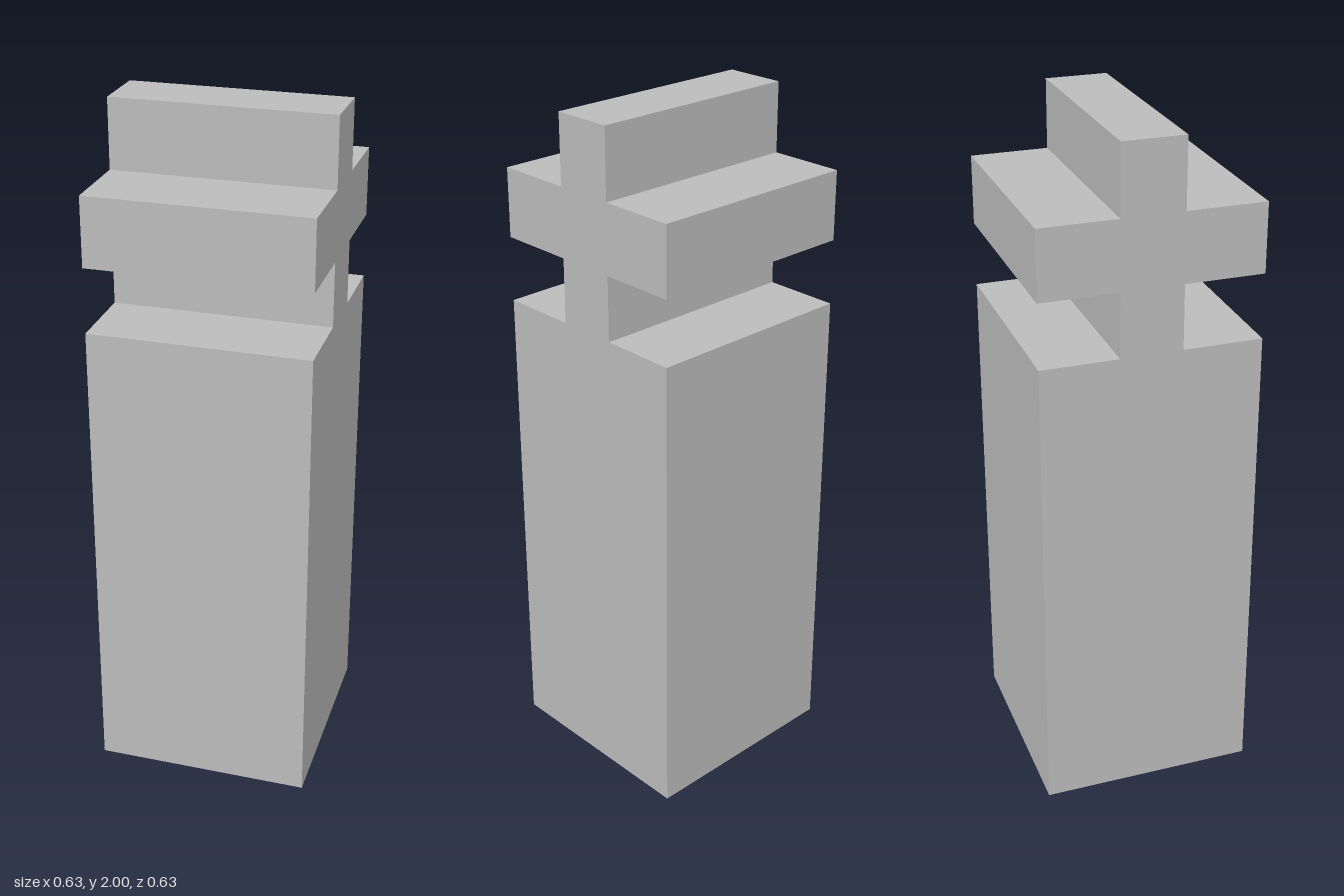
import * as THREE from 'three';

const HALF = 0.316; // half width of the square post
const NECK_FRONT = 0.087, NECK_BACK = 0.092; // neck extents along z
const SHOULDER = 1.412, BAR_BOTTOM = 1.6, BAR_TOP = 1.8, TOP = 2;

export function createModel() {
  const group = new THREE.Group();
  group.name = 'crossToppedPost';
  const grey = new THREE.MeshStandardMaterial({ color: 0xbbbbbb });
  grey.name = 'plain grey';

  // Side outline: post, neck, crossbar and top fin (shape x runs towards the back)
  const outline = [
    [-HALF, 0], [HALF, 0], [HALF, SHOULDER],
    [NECK_BACK, SHOULDER], [NECK_BACK, BAR_BOTTOM],
    [HALF, BAR_BOTTOM], [HALF, BAR_TOP],
    [NECK_BACK, BAR_TOP], [NECK_BACK, TOP],
    [-NECK_FRONT, TOP], [-NECK_FRONT, BAR_TOP],
    [-HALF, BAR_TOP], [-HALF, BAR_BOTTOM],
    [-NECK_FRONT, BAR_BOTTOM], [-NECK_FRONT, SHOULDER],
    [-HALF, SHOULDER],
  ].map(([x, y]) => new THREE.Vector2(x, y));

  // Extrude across the full width, then turn the outline to face sideways
  const geometry = new THREE.ExtrudeGeometry(new THREE.Shape(outline), {
    depth: HALF * 2, bevelEnabled: false,
  });
  geometry.translate(0, 0, -HALF);
  geometry.rotateY(Math.PI / 2);

  const post = new THREE.Mesh(geometry, grey);
  post.name = 'postWithCrossTop';
  group.add(post);
  return group;
}
